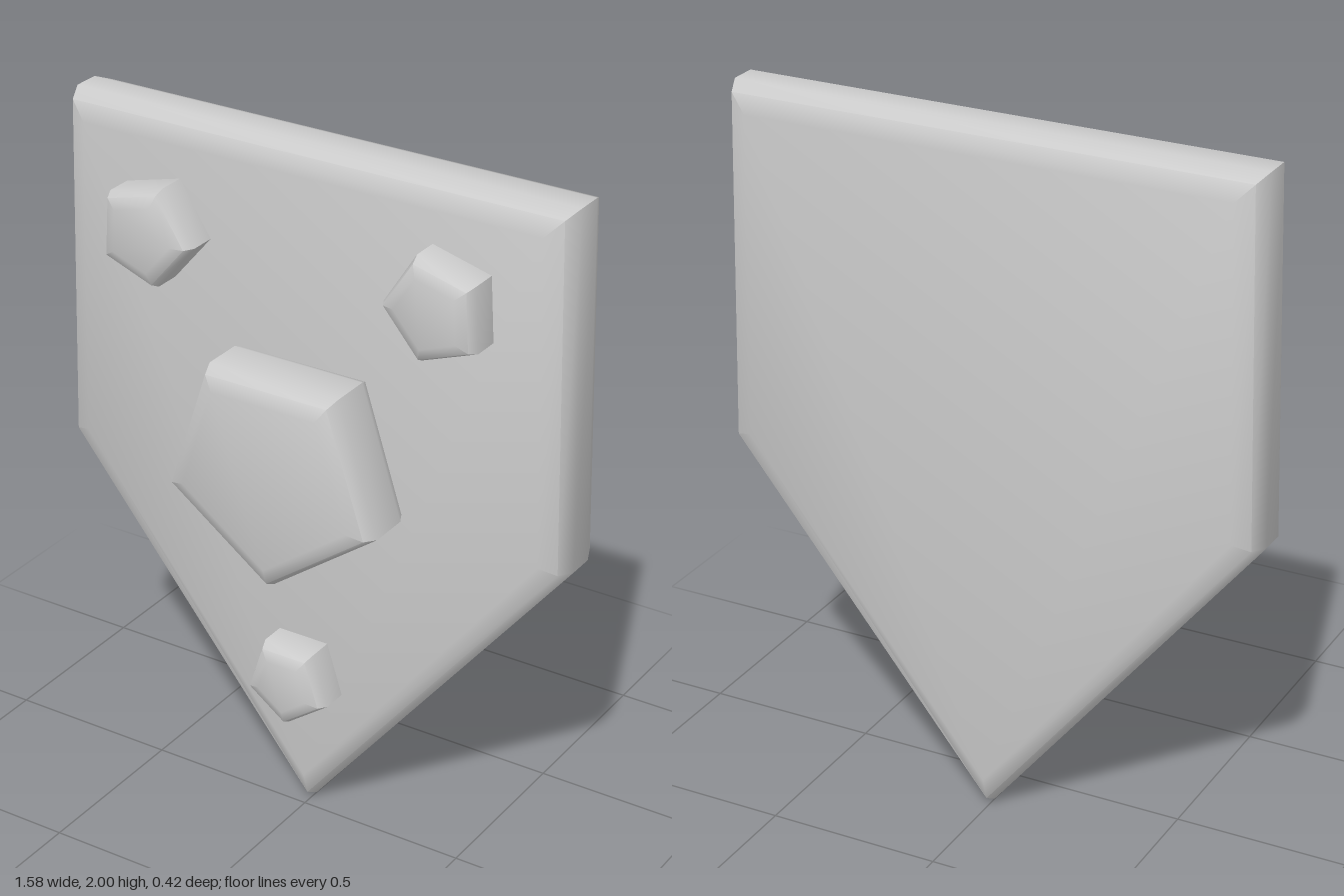
import * as THREE from 'three';
import { toCreasedNormals } from 'three/addons/utils/BufferGeometryUtils.js';

const material = new THREE.MeshStandardMaterial({ color: 0xcccccc });

// Pentagonal slab between two z values, rounded inward from its outline on both faces
function slab(name, outline, zBack, zFront, bevel) {
  const points = outline.map(([x, y]) => new THREE.Vector2(x, y));
  const extruded = new THREE.ExtrudeGeometry(new THREE.Shape(points), {
    depth: zFront - zBack - 2 * bevel,
    bevelThickness: bevel,
    bevelSize: bevel,
    bevelOffset: -bevel,
    bevelSegments: 2,
  });
  extruded.translate(0, 0, zBack + bevel);
  // Soft bevels, crisp mitred corners
  const mesh = new THREE.Mesh(toCreasedNormals(extruded, 0.8), material);
  mesh.name = name;
  return mesh;
}

// Completes an outline from its right-hand points, listed bottom to top
function mirrored(half) {
  const left = half.filter(([x]) => x > 0).map(([x, y]) => [-x, y]).reverse();
  return [...half, ...left];
}

export function createModel() {
  const group = new THREE.Group();
  group.name = 'studdedPlate';

  // Main plate
  group.add(slab('plate', mirrored([[0, 0], [0.79, 0.98], [0.765, 2]]), -0.21, 0.007, 0.07));

  // Large central boss
  group.add(slab('centreBoss', mirrored([[0, 0.8], [0.322, 1.035], [0.2, 1.412]]), -0.02, 0.207, 0.055));

  // Lower stud
  group.add(slab('lowerStud', mirrored([[0, 0.32], [0.126, 0.412], [0.078, 0.562]]), -0.06, 0.122, 0.042));

  // Pair of upper studs, tilted and mirrored
  const stud = [[0.408, 1.552], [0.569, 1.612], [0.558, 1.795], [0.386, 1.84], [0.291, 1.69]];
  group.add(slab('upperLeftStud', stud, -0.06, 0.125, 0.042));
  group.add(slab('upperRightStud', stud.map(([x, y]) => [-x, y]).reverse(), -0.06, 0.125, 0.042));

  return group;
}
